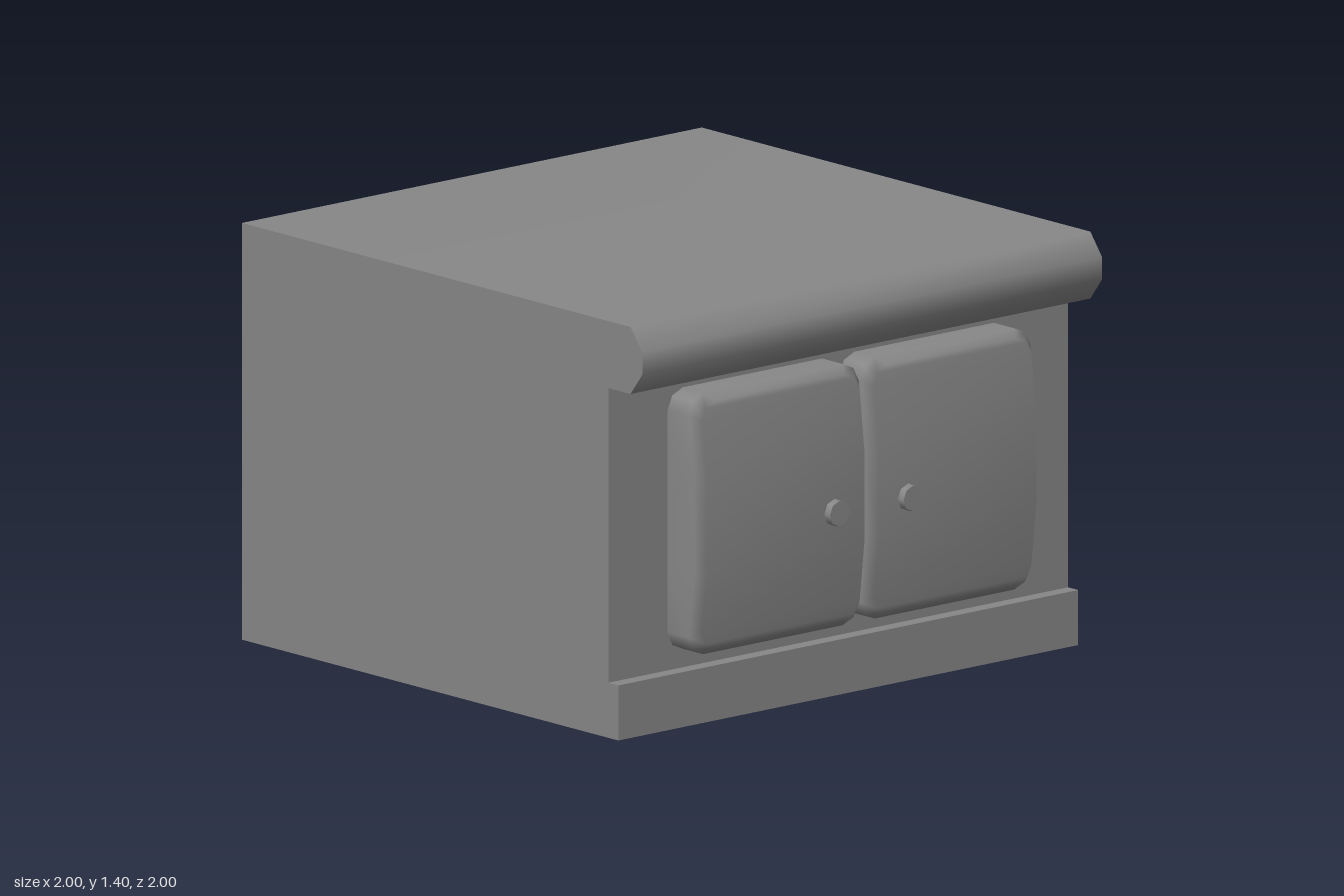
import * as THREE from 'three';
import { toCreasedNormals } from 'three/addons/utils/BufferGeometryUtils.js';

const material = new THREE.MeshStandardMaterial({ color: 0x878787, side: THREE.DoubleSide });

function addMesh(parent, name, geometry) {
  const mesh = new THREE.Mesh(geometry, material);
  mesh.name = name;
  parent.add(mesh);
  return mesh;
}

// Cabinet section as [z, y], from the back foot over the worktop lip to the plinth; open below
const SECTION = [
  [-1, 0], [-1, 1.4], [0.92, 1.4], [0.978, 1.325], [0.978, 1.25],
  [0.92, 1.175], [0.81, 1.175], [0.81, 0.185], [0.86, 0.185], [0.86, 0],
];

// Sweep section points across the full width, smooth along the strip
function stripGeometry(from, to) {
  const geo = new THREE.PlaneGeometry(2, 1, 1, to - from);
  const pos = geo.attributes.position;
  for (let i = 0; i < pos.count; i++) {
    const [z, y] = SECTION[from + Math.floor(i / 2)];
    pos.setXYZ(i, i % 2 ? 1 : -1, y, z);
  }
  geo.computeVertexNormals();
  return geo;
}

// Flat end wall on side s (+1 left, -1 right)
function sideGeometry(s) {
  const shape = new THREE.Shape(SECTION.map(([z, y]) => new THREE.Vector2(-s * z, y)));
  return new THREE.ShapeGeometry(shape).rotateY(s * Math.PI / 2).translate(s, 0, 0);
}

// Cushioned door: a rounded outline in rings, a flat back and a front bowed in height
function doorGeometry(hw, hh) {
  const upper = [[hw - 0.065, hh], [hw - 0.02, hh - 0.02], [hw, hh - 0.065], [hw, 0.155]];
  const right = [...upper, ...upper.map(([x, y]) => [x, -y]).reverse()];
  const outline = [...right, ...right.map(([x, y]) => [-x, y]).reverse()];
  const n = outline.length;
  const bow = (y) => 0.975 - 0.031 * Math.max(0, (Math.abs(y) - 0.155) / (hh - 0.155));
  const rings = [
    { inset: 0, z: () => 0.795 },
    { inset: 0, z: () => 0.795 },
    { inset: 0, z: (y) => bow(y) - 0.033 },
    { inset: 0.025, z: bow },
  ];
  const points = [], index = [];
  for (const { inset, z } of rings) {
    for (const [x, y] of outline) {
      points.push(x * (1 - inset / hw), y * (1 - inset / hh), z(y));
    }
  }
  // Rim and rounded edge
  for (let r = 1; r < 3; r++) {
    for (let i = 0; i < n; i++) {
      const j = (i + 1) % n, a = r * n, b = a + n;
      index.push(a + i, b + i, a + j, a + j, b + i, b + j);
    }
  }
  // Back and front faces, strip by strip from top to bottom
  for (let i = 0; i < n / 2 - 1; i++) {
    const a = i, b = i + 1, d = n - 1 - i, c = d - 1, f = 3 * n;
    index.push(a, c, d, a, b, c);
    index.push(f + a, f + d, f + c, f + a, f + c, f + b);
  }
  const geo = new THREE.BufferGeometry();
  geo.setAttribute('position', new THREE.Float32BufferAttribute(points, 3));
  geo.setIndex(index);
  geo.computeVertexNormals();
  return geo;
}

// Eight-sided knob, slightly tapered to the front
function knobGeometry() {
  const geo = new THREE.CylinderGeometry(0.043, 0.048, 0.045, 8).rotateX(Math.PI / 2);
  return toCreasedNormals(geo, 0.9);
}

export function createModel() {
  const model = new THREE.Group();
  model.name = 'cabinet';

  // Shell strips, split where the edges are sharp
  const strips = { back: [0, 1], worktop: [1, 6], frontPanel: [6, 7], plinthLedge: [7, 8], plinth: [8, 9] };
  for (const [name, [from, to]] of Object.entries(strips)) {
    addMesh(model, name, stripGeometry(from, to));
  }

  for (const s of [1, -1]) {
    const side = s > 0 ? 'left' : 'right';
    addMesh(model, side + 'Wall', sideGeometry(s));
    addMesh(model, side + 'Door', doorGeometry(0.368, 0.439)).position.set(s * 0.3735, 0.6865, 0);
    addMesh(model, side + 'Knob', knobGeometry()).position.set(s * 0.16, 0.653, 0.9775);
  }
  return model;
}
